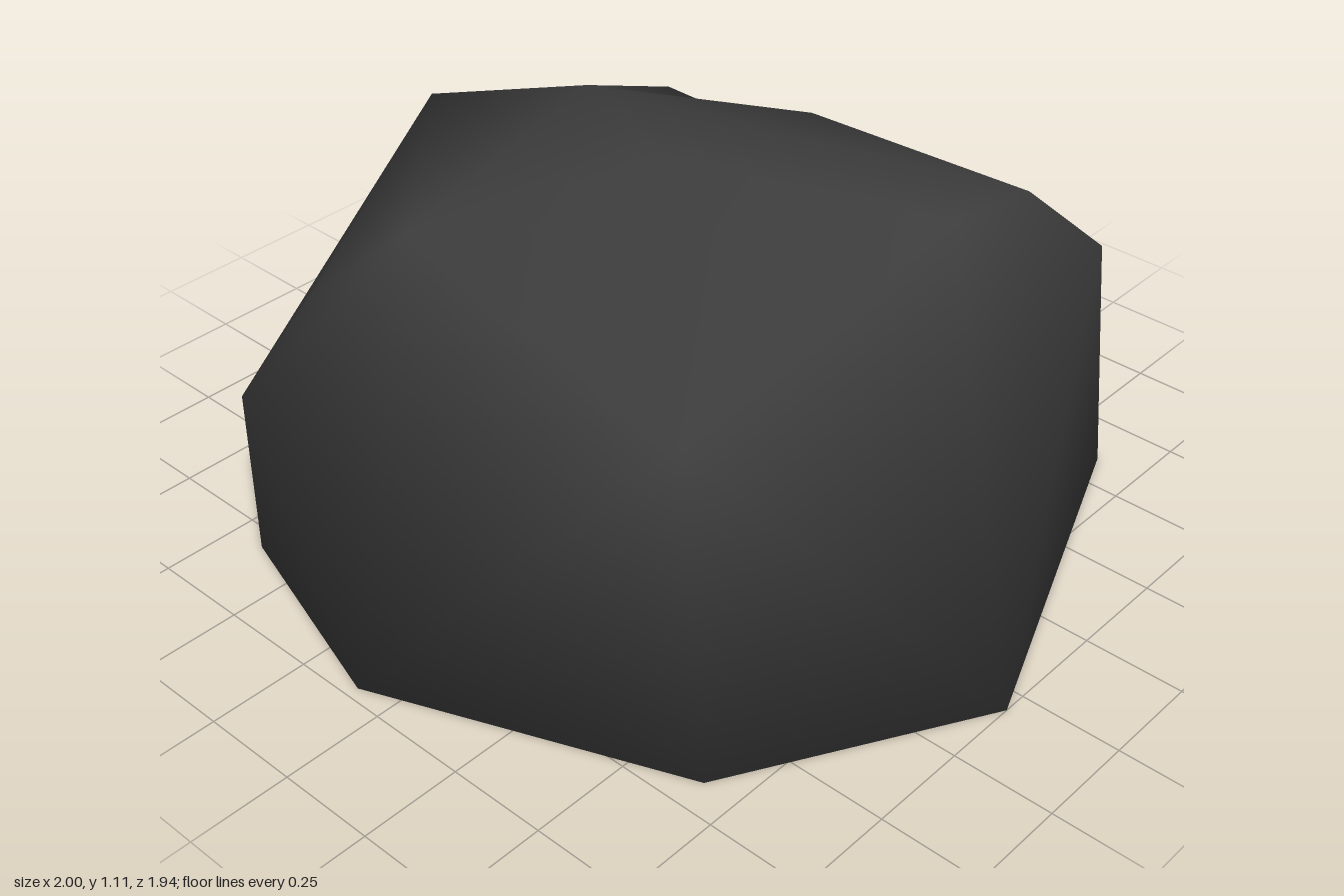
import * as THREE from 'three';
import { mergeVertices } from 'three/addons/utils/BufferGeometryUtils.js';
import { ConvexGeometry } from 'three/addons/geometries/ConvexGeometry.js';

// Turn the edge a-b of two neighbouring triangles, making a shallow hollow along it
function turnEdge(triangles, a, b) {
  const pair = triangles.filter((t) => t.includes(a) && t.includes(b));
  if (pair.length !== 2) return;
  const [first, second] = pair;
  const opposite = (t) => t.find((v) => v !== a && v !== b);
  const o1 = opposite(first), o2 = opposite(second);
  first[first.indexOf(a)] = o2;
  second[second.indexOf(b)] = o1;
}

// Smooth normals, each face weighted by its angle at the corner
function smoothNormals(corners, triangles) {
  const normals = corners.map(() => new THREE.Vector3());
  for (const t of triangles) {
    const [a, b, c] = t.map((v) => corners[v]);
    const face = new THREE.Triangle(a, b, c).getNormal(new THREE.Vector3());
    t.forEach((v, k) => {
      const toNext = corners[t[(k + 1) % 3]].clone().sub(corners[v]);
      const toLast = corners[t[(k + 2) % 3]].clone().sub(corners[v]);
      normals[v].addScaledVector(face, toNext.angleTo(toLast));
    });
  }
  return normals.flatMap((n) => n.normalize().toArray());
}

export function createModel() {
  const model = new THREE.Group();
  model.name = 'boulder';

  const darkStone = new THREE.MeshStandardMaterial({ color: 0x3d3d3d });
  darkStone.name = 'darkStone';

  // Eight-sided footprint on the ground: x, z
  const footprint = [
    [-0.89, -0.86], [-0.14, -0.97], [0.63, -0.85], [1.0, 0.06],
    [0.66, 0.67], [-0.1, 0.97], [-0.65, 0.8], [-1.0, -0.05],
  ].map(([x, z]) => [x, 0, z]);

  // Shoulder corners around the sides
  const backLeftCorner = [-0.65, 0.69, -0.64];
  const shoulders = [
    [-0.65, 0.44, 0.8], [-0.5, 0.73, 0.68], [0.53, 0.75, 0.595],
    [0.67, 0.72, -0.68], [-0.03, 0.54, -0.84], backLeftCorner, [-0.9, 0.81, -0.04],
  ];

  // Corners of the crown
  const backCrown = [-0.02, 0.905, -0.46];
  const crown = [
    [-0.12, 1.05, 0.72], [0.11, 1.105, 0.2], [0.645, 1.015, -0.13],
    [0.62, 0.95, -0.43], backCrown, [-0.34, 1.03, -0.03],
  ];

  // Wrap the corners in one closed surface with shared vertices
  const points = [...footprint, ...shoulders, ...crown].map((p) => new THREE.Vector3(...p));
  const hull = new ConvexGeometry(points);
  hull.deleteAttribute('normal');
  const geometry = mergeVertices(hull, 1e-4);

  const { position } = geometry.attributes;
  const corners = [];
  for (let i = 0; i < position.count; i++) corners.push(new THREE.Vector3().fromBufferAttribute(position, i));
  const triangles = [];
  for (let i = 0; i < geometry.index.count; i += 3) {
    triangles.push([0, 1, 2].map((k) => geometry.index.getX(i + k)));
  }

  // Hollow on the back slope between the crown and the back corner
  const find = (p) => corners.findIndex((c) => c.distanceTo(new THREE.Vector3(...p)) < 0.001);
  turnEdge(triangles, find(backLeftCorner), find(backCrown));

  geometry.setIndex(triangles.flat());
  geometry.setAttribute('normal', new THREE.Float32BufferAttribute(smoothNormals(corners, triangles), 3));

  const rock = new THREE.Mesh(geometry, darkStone);
  rock.name = 'rock';
  model.add(rock);
  return model;
}
